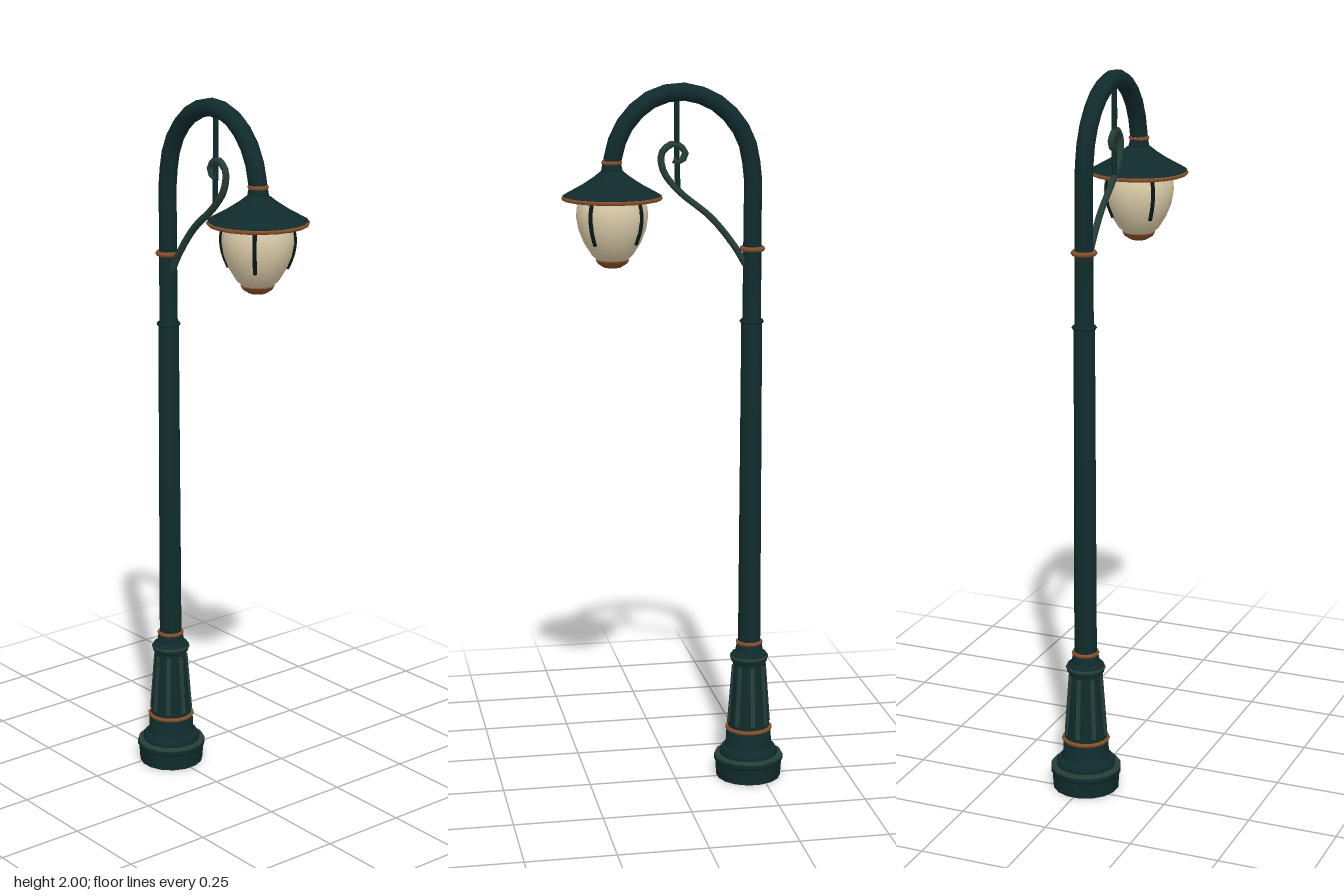
import * as THREE from 'three';
import { toCreasedNormals } from 'three/addons/utils/BufferGeometryUtils.js';

const POLE_X = -0.215, LAMP_X = 0.175;

function material(name, color) {
  const m = new THREE.MeshStandardMaterial({ color });
  m.name = name;
  return m;
}

export function createModel() {
  const dark = material('dark green iron', 0x102b2c);
  const light = material('weathered green iron', 0x263f36);
  const copper = material('copper', 0x85502a);
  const glass = material('frosted glass', 0xdccdaa);
  const black = material('black iron', 0x0a1818);
  const model = new THREE.Group();

  function add(parent, name, geometry, mat) {
    const mesh = new THREE.Mesh(geometry, mat);
    mesh.name = name;
    parent.add(mesh);
    return mesh;
  }
  // Turned part; profile is [radius, y] from bottom to top
  function turned(parent, name, profile, mat, sides = 16, crease = 0.6) {
    const pts = profile.map(([r, y]) => new THREE.Vector2(r, y));
    const geo = new THREE.LatheGeometry(pts, sides, Math.PI / sides);
    return add(parent, name, toCreasedNormals(geo, crease), mat);
  }
  function ring(parent, name, y, radius, thick, mat, sides = 16) {
    const geo = new THREE.TorusGeometry(radius, thick, 6, sides);
    geo.rotateX(Math.PI / 2);
    return add(parent, name, geo.translate(0, y, 0), mat);
  }
  function tube(parent, name, points, radius, segments, sides, mat) {
    const curve = new THREE.CatmullRomCurve3(points.map(([x, y, z = 0]) => new THREE.Vector3(x, y, z)));
    return add(parent, name, new THREE.TubeGeometry(curve, segments, radius, sides), mat);
  }

  // Pedestal and pole
  const post = new THREE.Group();
  post.name = 'post';
  post.position.x = POLE_X;
  model.add(post);
  turned(post, 'foot', [[0, 0], [0.093, 0], [0.096, 0.045], [0.1, 0.05], [0.1, 0.062]], dark);
  turned(post, 'footRim', [[0.1, 0.062], [0.097, 0.068], [0.084, 0.068]], light);
  turned(post, 'plinth', [[0.084, 0.068], [0.084, 0.078], [0.078, 0.088], [0.07, 0.09],
    [0.066, 0.1], [0.064, 0.14], [0.06, 0.15]], dark);
  ring(post, 'pedestalBand', 0.147, 0.062, 0.006, copper);
  turned(post, 'pedestal', [[0.06, 0.15], [0.045, 0.345], [0.052, 0.35], [0.054, 0.362],
    [0.05, 0.372], [0.04, 0.378], [0.036, 0.4], [0.03, 0.41]], dark);
  ring(post, 'pedestalCollar', 0.362, 0.05, 0.006, light);
  ring(post, 'poleBand', 0.405, 0.033, 0.006, copper);
  turned(post, 'pole', [[0.032, 0.4], [0.029, 1.34], [0.026, 1.35], [0.025, 1.56]], dark);
  ring(post, 'poleCollar', 1.34, 0.029, 0.005, dark);
  ring(post, 'bracketBand', 1.543, 0.029, 0.007, copper);

  // Raised flutes around the tapered pedestal
  const flutes = new THREE.Group();
  flutes.name = 'flutes';
  post.add(flutes);
  for (let i = 0; i < 8; i++) {
    const pivot = new THREE.Group();
    pivot.rotation.y = (i * Math.PI) / 4;
    flutes.add(pivot);
    const flute = add(pivot, 'flute', new THREE.BoxGeometry(0.012, 0.175, 0.01), light);
    flute.position.set(0, 0.25, 0.0505);
    flute.rotation.x = -0.077;
  }

  // Curved arm over the top
  tube(model, 'arm', [[POLE_X, 1.54], [POLE_X, 1.64], [-0.214, 1.75], [-0.19, 1.855], [-0.12, 1.938],
    [-0.02, 1.974], [0.075, 1.95], [0.145, 1.878], [0.172, 1.8], [LAMP_X, 1.75]], 0.025, 18, 10, dark);

  // Scrolled brace and its hanger
  tube(model, 'scrollBrace', [[-0.195, 1.5], [-0.165, 1.55], [-0.1, 1.63], [-0.01, 1.705], [0.033, 1.76],
    [0.038, 1.81], [0.003, 1.835], [-0.027, 1.81], [-0.012, 1.785], [0.008, 1.792]], 0.01, 32, 6, light);
  tube(model, 'hanger', [[-0.004, 1.965], [-0.003, 1.84], [-0.006, 1.715]], 0.008, 3, 6, dark);

  // Lantern
  const lantern = new THREE.Group();
  lantern.name = 'lantern';
  lantern.position.x = LAMP_X;
  model.add(lantern);
  ring(lantern, 'neckBand', 1.787, 0.023, 0.006, copper);
  turned(lantern, 'neck', [[0.032, 1.745], [0.029, 1.765], [0.025, 1.785]], dark);
  turned(lantern, 'shade', [[0, 1.683], [0.09, 1.683], [0.13, 1.688], [0.134, 1.698],
    [0.085, 1.725], [0.05, 1.748], [0.03, 1.764]], dark, 20);
  ring(lantern, 'shadeRim', 1.692, 0.132, 0.006, copper, 20);

  const globe = [[0.036, 1.518], [0.056, 1.535], [0.078, 1.57], [0.092, 1.605],
    [0.098, 1.64], [0.096, 1.665], [0.09, 1.686]];
  turned(lantern, 'globe', globe, glass, 20, 1.2);
  turned(lantern, 'globeCap', [[0, 1.5], [0.024, 1.502], [0.04, 1.512], [0.046, 1.522], [0.038, 1.53]], copper);

  // Four bars hugging the globe on its diagonals
  for (let i = 0; i < 4; i++) {
    const a = Math.PI / 4 + (i * Math.PI) / 2;
    const path = globe.slice(2).map(([r, y]) => [Math.cos(a) * r, y, Math.sin(a) * r]);
    tube(lantern, 'globeBar', path, 0.006, 8, 6, black);
  }
  return model;
}
